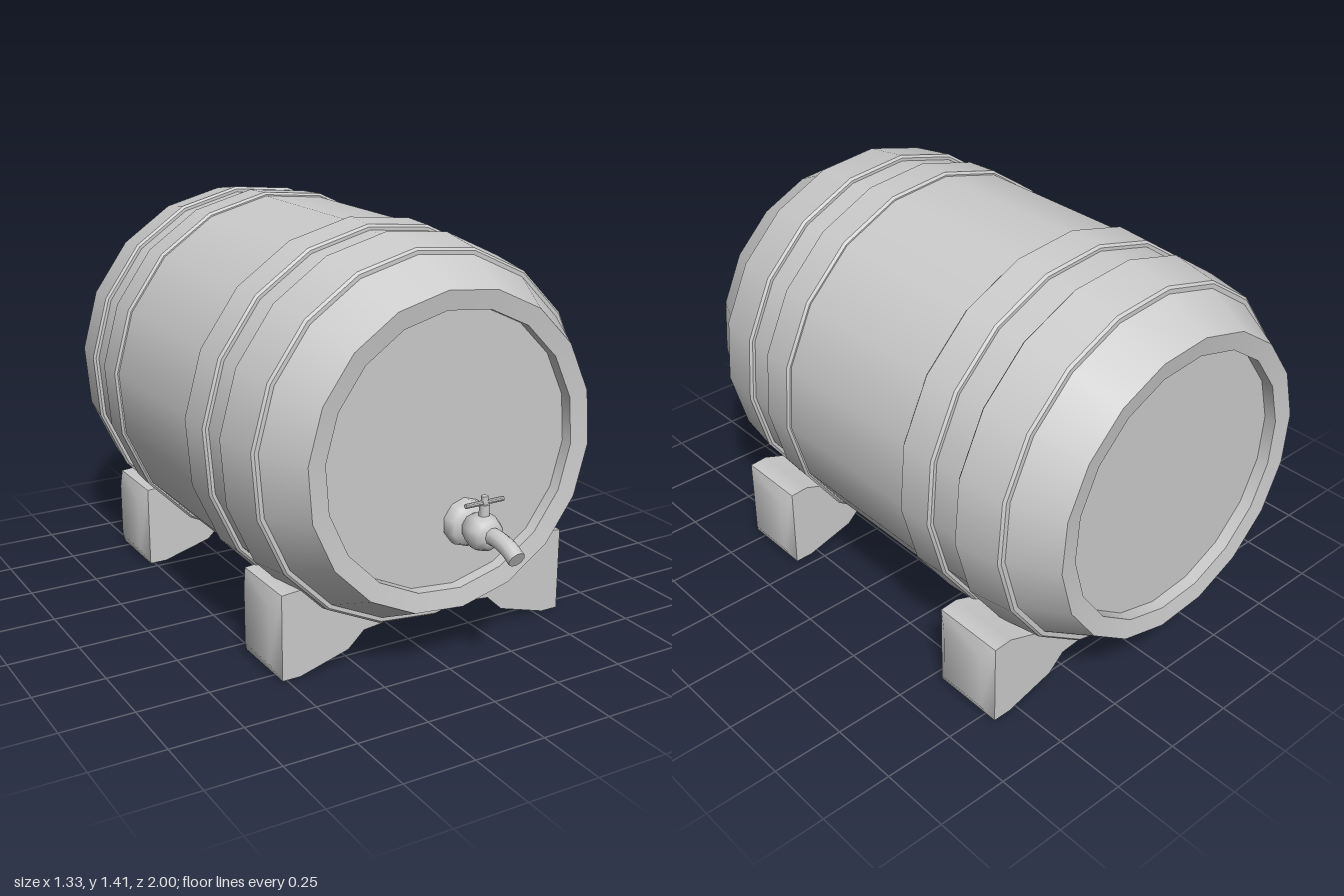
import * as THREE from 'three';
import { mergeGeometries, toCreasedNormals } from 'three/addons/utils/BufferGeometryUtils.js';

const material = new THREE.MeshStandardMaterial({ color: 0xcccccc, side: THREE.DoubleSide });
const BARREL_Y = 0.745, BARREL_Z = -0.1225, SIDES = 18, RAIL_DEPTH = 0.26;

function add(parent, name, geometry, x = 0, y = 0, z = 0) {
  const mesh = new THREE.Mesh(geometry, material);
  mesh.name = name;
  mesh.position.set(x, y, z);
  parent.add(mesh);
  return mesh;
}

// Smooth lathe along z: profile is [radius, z] from back to front
function turned(profile, sides = SIDES, phi = THREE.MathUtils.degToRad(4.5)) {
  const points = profile.map(([r, z]) => new THREE.Vector2(r, z));
  return new THREE.LatheGeometry(points, sides, phi).rotateX(Math.PI / 2);
}

// Lathe with a sharp edge at every profile point, smooth around each band
function banded(profile) {
  return mergeGeometries(profile.slice(1).map((point, i) => turned([profile[i], point])));
}

// Staves and recessed heads, mirrored about the middle of the barrel
function barrelGeometry() {
  const half = [[0, 0.825], [0.465, 0.825], [0.465, 0.868], [0.53, 0.8775],
    [0.61, 0.715], [0.638, 0.54], [0.643, 0.43], [0.655, 0.3]];
  const back = half.map(([r, z]) => [r, -z]);
  return banded([...back, ...half.slice().reverse()]);
}

// Metal band with slightly bevelled edges; r0 at z0, r1 at z1
function hoopGeometry(z0, z1, r0, r1) {
  const b = 0.008;
  return banded([[r0 - 0.04, z0], [r0 - b, z0], [r0, z0 + b], [r1, z1 - b], [r1 - b, z1], [r1 - 0.04, z1]]);
}

// Cradle rail: a shell open underneath, with two feet and a middle that meets the barrel
function railGeometry() {
  const half = [[0.555, 0], [0.49, 0], [0.31, 0.052], [0.285, 0.075], [0.25, 0.108], [0.1, 0.125]];
  const top = [[-0.555, 0.3], [-0.49, 0.305], [-0.25, 0.22], [0.25, 0.22], [0.49, 0.305], [0.555, 0.3]];
  const outline = [...half, ...half.slice().reverse().map(([x, y]) => [-x, y]), ...top];
  const shape = new THREE.Shape(outline.map(([x, y]) => new THREE.Vector2(x, y)));
  const front = new THREE.ShapeGeometry(shape).translate(0, 0, RAIL_DEPTH / 2);
  const back = front.clone().rotateY(Math.PI);
  const cover = new THREE.PlaneGeometry(1, RAIL_DEPTH, top.length - 1, 1).rotateX(-Math.PI / 2);
  const p = cover.attributes.position;
  for (let i = 0; i < p.count; i++) {
    const [x, y] = top[i % top.length];
    p.setXYZ(i, x, y, p.getZ(i));
  }
  cover.computeVertexNormals();
  return mergeGeometries([front, back, cover]);
}

// Cushioned end of a rail: a thin block whose outer face is inset
function railEndGeometry(side) {
  const geometry = new THREE.BoxGeometry(0.025, 0.3, RAIL_DEPTH);
  const p = geometry.attributes.position;
  for (let i = 0; i < p.count; i++) {
    if (p.getX(i) * side > 0) {
      p.setY(i, p.getY(i) * 0.68);
      p.setZ(i, p.getZ(i) * 0.68);
    }
  }
  return toCreasedNormals(geometry, 0.8);
}

function createTap() {
  const tap = new THREE.Group();
  tap.name = 'tap';
  // Flange in the recess, and rounded body
  add(tap, 'tapFlange', turned([[0.08, -0.06], [0.08, -0.03], [0.07, -0.008], [0.04, 0.002]], 10, 0));
  add(tap, 'tapBody', turned([[0.04, -0.01], [0.052, 0.015], [0.062, 0.04], [0.062, 0.068],
    [0.05, 0.095], [0.03, 0.108], [0, 0.11]], 10, 0));
  // Curved spout with its closed end
  const path = new THREE.CatmullRomCurve3([[0, 0.09], [0.003, 0.13], [-0.008, 0.19], [-0.03, 0.234]]
    .map(([y, z]) => new THREE.Vector3(0, y, z)));
  add(tap, 'spout', new THREE.TubeGeometry(path, 8, 0.029, 10));
  const end = add(tap, 'spoutEnd', new THREE.CircleGeometry(0.029, 10));
  end.position.copy(path.getPoint(1));
  end.quaternion.setFromUnitVectors(new THREE.Vector3(0, 0, 1), path.getTangent(1));
  // Valve stem and turning handle
  const cylinder = (r, h) => toCreasedNormals(new THREE.CylinderGeometry(r, r, h, 10), 0.8);
  add(tap, 'stem', cylinder(0.018, 0.05), 0, 0.07, 0.058);
  add(tap, 'stemTop', cylinder(0.012, 0.04), 0, 0.102, 0.058);
  add(tap, 'handle', cylinder(0.008, 0.145).rotateZ(Math.PI / 2), 0, 0.1, 0.058);
  return tap;
}

export function createModel() {
  const model = new THREE.Group();
  model.name = 'barrelOnCradle';

  const barrel = new THREE.Group();
  barrel.name = 'barrel';
  barrel.position.set(0, BARREL_Y, BARREL_Z);
  add(barrel, 'staves', barrelGeometry());
  add(barrel, 'frontOuterHoop', hoopGeometry(0.532, 0.713, 0.657, 0.632));
  add(barrel, 'frontInnerHoop', hoopGeometry(0.297, 0.432, 0.668, 0.662));
  add(barrel, 'backInnerHoop', hoopGeometry(-0.432, -0.297, 0.662, 0.668));
  add(barrel, 'backOuterHoop', hoopGeometry(-0.718, -0.54, 0.632, 0.657));
  model.add(barrel);

  for (const [name, z] of [['frontRail', 0.423], ['backRail', -0.663]]) {
    const rail = new THREE.Group();
    rail.name = name;
    rail.position.set(0.04, 0, z);
    add(rail, 'cradle', railGeometry());
    for (const side of [-1, 1]) {
      add(rail, side > 0 ? 'leftEnd' : 'rightEnd', railEndGeometry(side), side * 0.5675, 0.15, 0);
    }
    model.add(rail);
  }

  const tap = createTap();
  tap.position.set(0.072, 0.491, 0.755);
  model.add(tap);
  return model;
}
